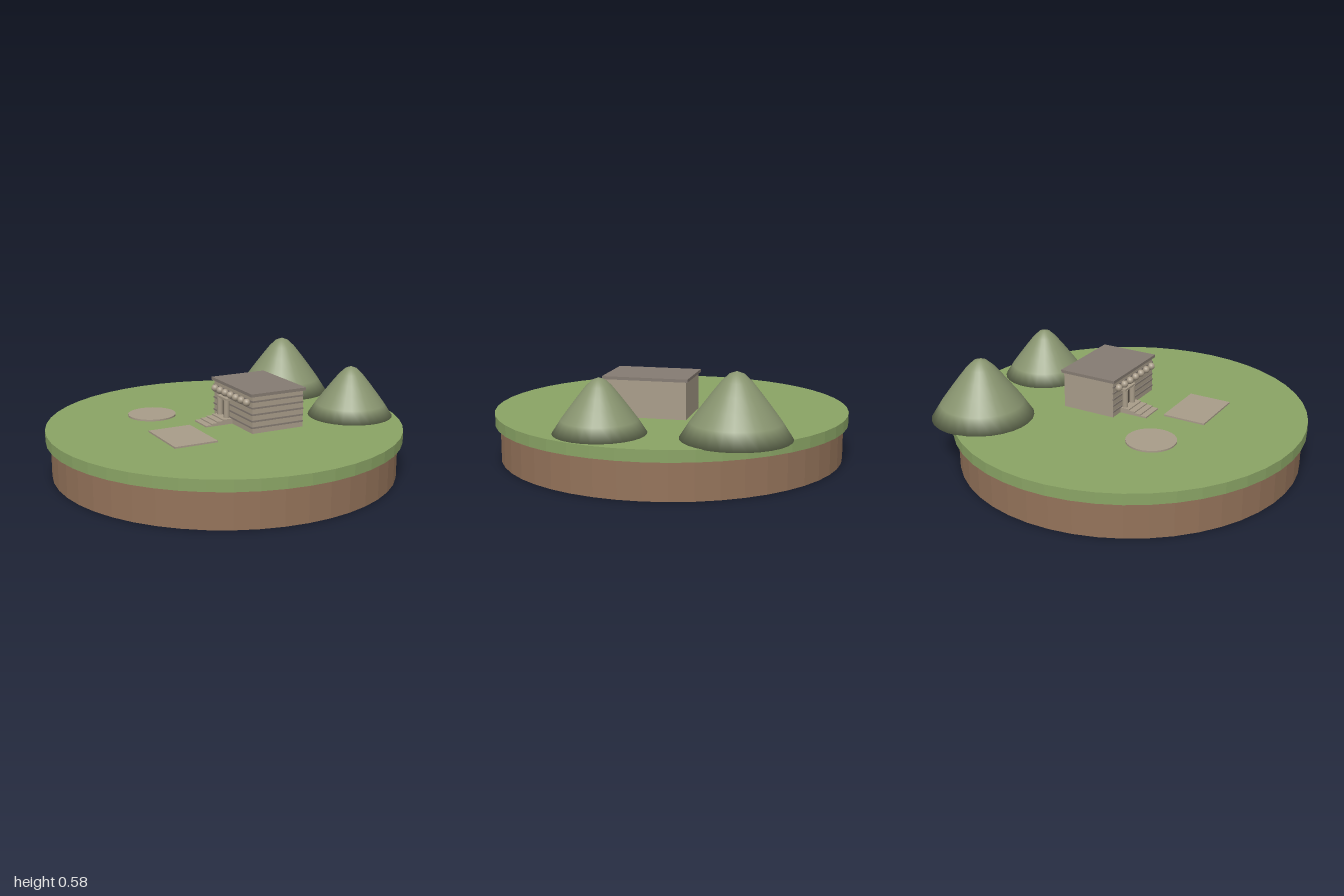
import * as THREE from 'three';

const mat = (name, color, flatShading = false) => {
  const m = new THREE.MeshStandardMaterial({ color });
  m.name = name;
  m.flatShading = flatShading;
  return m;
};

export function createModel() {
  const grass = mat('grass', 0x8aa465, true);
  const soil = mat('soil', 0x94735a, true);
  const foliage = mat('hill green', 0x88946f);
  const stone = mat('stone', 0xa89c89);
  const roofing = mat('roof', 0x857b72);
  const dark = mat('dark opening', 0x5c5349);

  const model = new THREE.Group();
  const add = (parent, name, geometry, material, x = 0, y = 0, z = 0) => {
    const mesh = new THREE.Mesh(geometry, material);
    mesh.name = name;
    mesh.position.set(x, y, z);
    parent.add(mesh);
    return mesh;
  };
  const box = (w, h, d) => new THREE.BoxGeometry(w, h, d);
  const cyl = (r, h, n) => new THREE.CylinderGeometry(r, r, h, n);
  const ground = 0.255;
  const turn = -0.35;

  // Round island
  add(model, 'soilBase', cyl(0.933, 0.196, 48), soil, 0, 0.098, 0.038);
  add(model, 'grassTop', cyl(0.96, 0.06, 48), grass, 0, 0.225, 0.038);

  // Domed hills
  const profile = [[0, 0], [1, 0], [0.81, 0.25], [0.61, 0.48], [0.43, 0.68],
    [0.27, 0.85], [0.13, 0.96], [0, 1]];
  const hill = (name, r, h, x, z) => add(model, name,
    new THREE.LatheGeometry(profile.map(([a, b]) => new THREE.Vector2(a * r, b * h)), 28),
    foliage, x, ground - 0.002, z);
  hill('largeHill', 0.275, 0.327, -0.222, -0.725);
  hill('smallHill', 0.235, 0.277, 0.42, -0.54);

  // Paved areas
  add(model, 'roundPlaza', cyl(0.132, 0.01, 32), stone, -0.386, ground + 0.004, 0.212);
  add(model, 'courtyard', box(0.328, 0.01, 0.238), stone, 0.043, ground + 0.004, 0.402)
    .rotation.y = turn;

  // Temple body and roof
  const temple = new THREE.Group();
  temple.name = 'temple';
  temple.position.set(0.12, ground, -0.1);
  temple.rotation.y = turn;
  model.add(temple);
  add(temple, 'walls', box(0.436, 0.2, 0.306), stone, 0, 0.1, 0);
  add(temple, 'roofSlab', box(0.456, 0.016, 0.33), roofing, 0, 0.207, 0);

  // Stone courses on the front and one side
  for (let i = 0; i < 5; i++) {
    const y = 0.032 + i * 0.035;
    add(temple, 'frontCourse', box(0.436, 0.009, 0.006), roofing, 0, y, 0.154);
    add(temple, 'sideCourse', box(0.006, 0.009, 0.306), roofing, 0.219, y, 0);
  }

  // Row of round ornaments
  for (let i = -3; i <= 3; i++) {
    add(temple, 'ornament', new THREE.SphereGeometry(0.02, 14, 10), stone, i * 0.06, 0.162, 0.168);
  }

  // Doorway with a pair of columns
  const doorX = -0.078;
  add(temple, 'doorway', box(0.05, 0.125, 0.008), dark, doorX, 0.0625, 0.156);
  for (const side of [-1, 1]) {
    add(temple, 'column', cyl(0.016, 0.125, 12), stone, doorX + side * 0.038, 0.0625, 0.17);
  }
  add(temple, 'lintel', box(0.11, 0.012, 0.03), stone, doorX, 0.13, 0.166);

  // Shallow steps to the door
  for (let i = 0; i < 4; i++) {
    const depth = 0.16 - i * 0.035;
    add(temple, 'step', box(0.136, 0.008, depth), stone, doorX + 0.006, 0.004 + i * 0.007, 0.152 + depth / 2);
  }
  return model;
}
